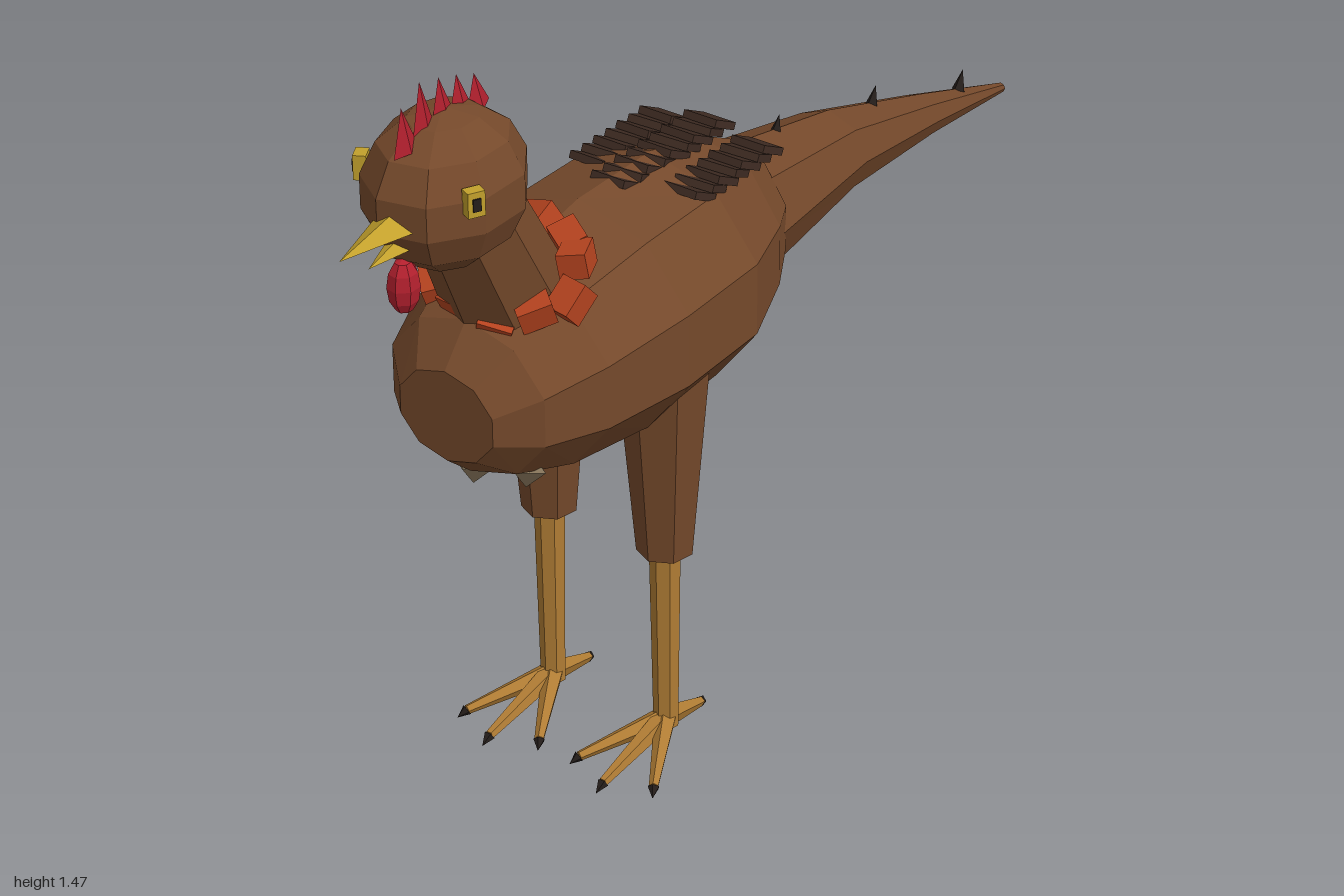
import * as THREE from 'three';

const mat = (name, color) => {
  const m = new THREE.MeshStandardMaterial({ color, flatShading: true });
  m.name = name;
  return m;
};
const V = (x, y, z) => new THREE.Vector3(x, y, z);

// Faceted solid through elliptical rings [z, y, rx, ry], listed front to back
function loft(rings, sides, turn = 0) {
  const pos = [];
  const pt = ([z, y, rx, ry], j) => {
    const a = turn + (j / sides) * Math.PI * 2;
    return [rx * Math.cos(a), y + ry * Math.sin(a), z];
  };
  const first = rings[0], last = rings[rings.length - 1];
  for (let j = 0; j < sides; j++) {
    pos.push(0, first[1], first[0], ...pt(first, j), ...pt(first, j + 1));
    pos.push(0, last[1], last[0], ...pt(last, j + 1), ...pt(last, j));
    for (let i = 0; i < rings.length - 1; i++) {
      const a = pt(rings[i], j), b = pt(rings[i], j + 1);
      const c = pt(rings[i + 1], j + 1), d = pt(rings[i + 1], j);
      pos.push(...a, ...d, ...b, ...b, ...d, ...c);
    }
  }
  const g = new THREE.BufferGeometry();
  g.setAttribute('position', new THREE.Float32BufferAttribute(pos, 3));
  g.computeVertexNormals();
  return g;
}

export function createModel() {
  const model = new THREE.Group();
  model.name = 'bird';
  const brown = mat('brown plumage', 0x75492b);
  const dark = mat('dark feather', 0x3e2b22);
  const legTan = mat('leg tan', 0xb07c34);
  const red = mat('comb red', 0xb3202e);
  const orange = mat('ruff orange', 0xb5431f);
  const yellow = mat('beak yellow', 0xc2a02c);
  const black = mat('claw black', 0x241d1a);
  const pale = mat('belly tan', 0x8c7a5e);

  const add = (name, geo, material, parent = model) => {
    const m = new THREE.Mesh(geo, material);
    m.name = name;
    parent.add(m);
    return m;
  };
  // Tapered round bar from a to b
  const bar = (name, a, b, ra, rb, sides, material, parent = model) => {
    const dir = b.clone().sub(a);
    const m = add(name, new THREE.CylinderGeometry(rb, ra, dir.length(), sides), material, parent);
    m.position.copy(a).add(b).multiplyScalar(0.5);
    m.quaternion.setFromUnitVectors(V(0, 1, 0), dir.normalize());
    return m;
  };

  // Body
  add('body', loft([
    [0.75, 0.85, 0.10, 0.085],
    [0.69, 0.86, 0.165, 0.145],
    [0.57, 0.865, 0.21, 0.19],
    [0.38, 0.87, 0.237, 0.22],
    [0.17, 0.87, 0.232, 0.22],
    [0.02, 0.87, 0.175, 0.185],
    [-0.07, 0.87, 0.125, 0.14],
  ], 10, Math.PI / 10), brown);

  // Tail in three tapering segments, each with a small spine
  const tail = [[-0.05, 0.872, 0.13, 0.13], [-0.385, 0.853, 0.085, 0.081],
    [-0.7, 0.793, 0.047, 0.042], [-1, 0.725, 0.01, 0.01]];
  for (let i = 0; i < 3; i++) {
    add('tailSegment', loft([tail[i], tail[i + 1]], 8), brown);
    const z = [-0.21, -0.53, -0.84][i], y = [0.955, 0.88, 0.785][i];
    bar('tailSpine', V(0, y, z), V(0, y + 0.038, z - 0.015), 0.014, 0, 4, black);
  }

  // Neck and head
  bar('neck', V(0, 0.93, 0.54), V(0, 1.24, 0.70), 0.115, 0.092, 8, brown);
  add('head', new THREE.SphereGeometry(1, 9, 7), brown).scale.set(0.13, 0.138, 0.155);
  model.children.at(-1).position.set(0, 1.272, 0.73);

  // Beak
  const beakTop = bar('upperBeak', V(0, 1.255, 0.85), V(0, 1.253, 1.0), 0.044, 0, 4, yellow);
  beakTop.scale.z = 0.6;
  const beakLow = bar('lowerBeak', V(0, 1.218, 0.83), V(0, 1.208, 0.93), 0.032, 0, 4, yellow);
  beakLow.scale.z = 0.5;

  // Wattle
  const wattle = add('wattle', new THREE.SphereGeometry(1, 7, 6), red);
  wattle.scale.set(0.027, 0.05, 0.03);
  wattle.position.set(0, 1.14, 0.845);

  // Comb
  [[0.835, 1.45], [0.788, 1.477], [0.74, 1.465], [0.695, 1.452], [0.65, 1.435]].forEach(([z, tip]) => {
    const base = 1.385 - Math.abs(z - 0.74) * 0.15;
    const spike = bar('combSpike', V(0, base, z - 0.008), V(0, tip, z), 0.03, 0, 4, red);
    spike.scale.x = 0.4;
  });

  // Eyes with pupils
  for (const s of [1, -1]) {
    const eye = new THREE.Group();
    eye.name = s > 0 ? 'leftEye' : 'rightEye';
    eye.position.set(s * 0.112, 1.305, 0.802);
    eye.rotation.y = s * 1.1;
    model.add(eye);
    add('iris', new THREE.BoxGeometry(0.03, 0.044, 0.022), yellow, eye);
    add('pupil', new THREE.BoxGeometry(0.014, 0.022, 0.008), black, eye).position.z = 0.01;
  }

  // Ruff of tufts around the base of the neck, rising toward the back
  for (let i = 0; i < 11; i++) {
    const a = (i / 11) * Math.PI * 2 + Math.PI;
    const out = i % 2 ? 0.125 : 0.138;
    const tuft = add('ruffTuft', new THREE.BoxGeometry(0.06, 0.045, 0.05), orange);
    tuft.position.set(out * Math.sin(a), 1.05 - 0.055 * Math.cos(a) + (i % 2 ? 0.012 : -0.006), 0.575 + 0.085 * Math.cos(a));
    tuft.rotation.set(0.4, a, 0.35 * (i % 3 - 1));
  }

  // Rows of overlapping feathers on the back
  for (const [x, n, y] of [[-0.095, 7, 1.055], [0, 9, 1.075], [0.1, 7, 1.055]]) {
    const row = new THREE.Group();
    row.name = 'backFeathers';
    model.add(row);
    for (let i = 0; i < n; i++) {
      const f = add('feather', new THREE.BoxGeometry(0.074, 0.014, 0.055), dark, row);
      f.position.set(x, y, -0.005 + i * 0.034);
      f.rotation.set(-0.45, i % 2 ? 0.12 : -0.12, 0);
    }
  }

  // Pale breast flecks set into the lower front
  for (const [x, y, z] of [[-0.115, 0.735, 0.625], [-0.015, 0.715, 0.665], [0.08, 0.73, 0.645]]) {
    const fleck = add('breastFleck', new THREE.OctahedronGeometry(0.042), pale);
    fleck.position.set(x, y, z);
    fleck.scale.z = 0.7;
  }

  // Legs and feet
  for (const s of [1, -1]) {
    const leg = new THREE.Group();
    leg.name = s > 0 ? 'leftLeg' : 'rightLeg';
    leg.position.set(s * 0.125, 0, 0.31);
    model.add(leg);
    bar('thigh', V(0, 0.405, 0), V(0, 0.82, 0), 0.051, 0.086, 7, brown, leg);
    bar('shin', V(0, 0.035, 0), V(0, 0.42, 0), 0.023, 0.029, 7, legTan, leg);
    for (const [x, z] of [[0, 0.215], [-0.09, 0.17], [0.09, 0.17], [0, -0.12]]) {
      const root = V(0, 0.05, 0), tip = V(x, 0.016, z);
      const end = root.clone().lerp(tip, 0.9);
      bar('toe', root, end, 0.021, 0.009, 5, legTan, leg);
      bar('claw', end, V(x, 0.008, z), 0.011, 0, 5, black, leg);
    }
  }
  return model;
}
